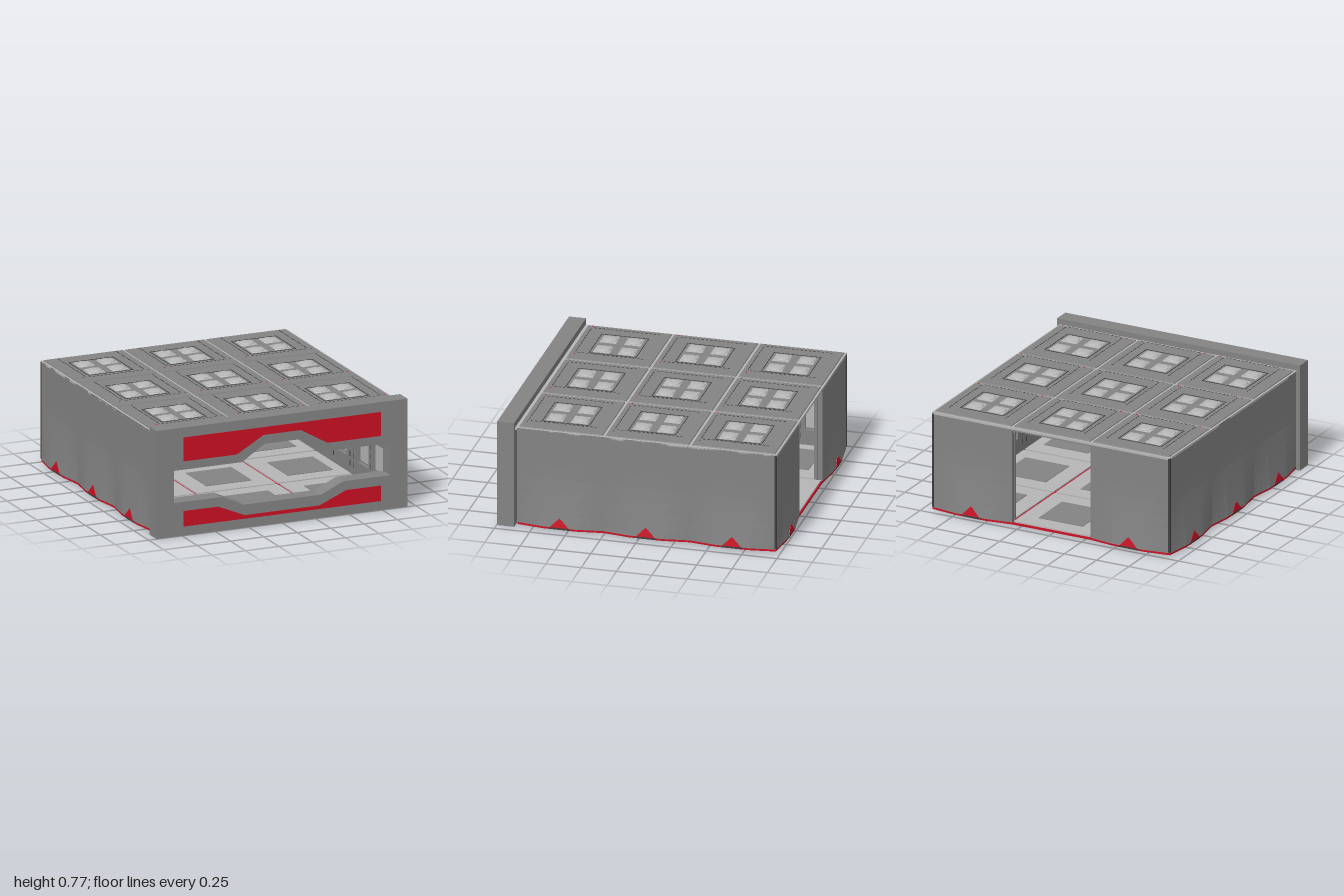
import * as THREE from 'three';
import { mergeGeometries } from 'three/addons/utils/BufferGeometryUtils.js';

const material = (name, color) => new THREE.MeshStandardMaterial({ name, color });
const grey = material('grey', 0x848484);
const light = material('light grey', 0xb6b6b6);
const red = material('red', 0xcc1024);
const dark = material('dark grey', 0x404044);

const PITCH = 0.61, MID_Z = -0.055, WALL_H = 0.7;

function add(parent, name, geometry, mat, x = 0, y = 0, z = 0) {
  const mesh = new THREE.Mesh(geometry, mat);
  mesh.name = name;
  mesh.position.set(x, y, z);
  parent.add(mesh);
  return mesh;
}
const box = (w, h, d) => new THREE.BoxGeometry(w, h, d);
const polygon = pts => new THREE.Shape(pts.map(p => new THREE.Vector2(...p)));
const extrude = (shape, depth) => new THREE.ExtrudeGeometry(shape, { depth, bevelEnabled: false });
// Close a half outline (x >= 0) by mirroring it across x = 0
const mirrored = half => polygon([...half, ...half.map(([x, y]) => [-x, y]).reverse()]);
const rect = (w, h, x = 0, y = 0) => [
  [x - w / 2, y - h / 2], [x + w / 2, y - h / 2], [x + w / 2, y + h / 2], [x - w / 2, y + h / 2]];

// Row of thin dashes along x, lying in the xz plane
function dashRow(length, count, width = 0.006) {
  const parts = [];
  for (let i = 0; i < count; i++) {
    const dash = box(length / count * 0.55, 0.002, width);
    dash.translate((i + 0.5) / count * length - length / 2, 0, 0);
    parts.push(dash);
  }
  return mergeGeometries(parts);
}

// How far the walls swell outward, along the tile
const swell = s => Math.min(1, Math.max(0, (0.305 - Math.abs(s)) / 0.19));

// Square frame with four low domes, facing +y
function domePanel() {
  const group = new THREE.Group();
  group.name = 'domePanel';
  const rim = polygon(rect(0.336, 0.336));
  rim.holes.push(polygon(rect(0.328, 0.328)));
  add(group, 'panelRim', extrude(rim, 0.003).rotateX(-Math.PI / 2), dark);
  for (const x of [-0.087, 0.087]) for (const z of [-0.087, 0.087]) {
    const base = new THREE.CylinderGeometry(0.075, 0.083, 0.007, 4).rotateY(Math.PI / 4);
    add(group, 'domeBase', base, light, x, 0.0035, z);
    const dome = new THREE.SphereGeometry(0.053, 24, 6, 0, Math.PI * 2, 0, Math.PI / 2).scale(1, 0.2, 1);
    add(group, 'dome', dome, light, x, 0.007, z);
  }
  return group;
}

// One wall section; its outside faces +z
function wallTile() {
  const group = new THREE.Group();
  group.name = 'wallTile';
  const skin = new THREE.PlaneGeometry(PITCH, WALL_H, 10, 8);
  skin.translate(0, 0.03 + WALL_H / 2, 0);
  const p = skin.attributes.position;
  for (let i = 0; i < p.count; i++) {
    const rise = Math.max(0, (0.4 - p.getY(i)) / 0.37);
    p.setZ(i, 0.028 * swell(p.getX(i)) * rise ** 1.3);
  }
  const facets = skin.toNonIndexed();
  facets.computeVertexNormals();
  add(group, 'wallSkin', facets, grey);
  add(group, 'wallCore', box(PITCH, WALL_H - 0.005, 0.03), grey, 0, 0.378, -0.017);
  add(group, 'innerPanel', box(0.44, 0.46, 0.004), light, 0, 0.39, -0.034);

  // Inner frame with four recessed openings
  const frame = polygon(rect(PITCH, WALL_H - 0.01, 0, 0.378));
  for (const x of [-0.122, 0.122]) for (const y of [0.255, 0.525])
    frame.holes.push(polygon(rect(0.18, 0.21, x, y)));
  add(group, 'innerFrame', extrude(frame, 0.025), grey, 0, 0, -0.06);
  add(group, 'innerDashes', dashRow(0.56, 8).rotateX(Math.PI / 2), dark, 0, 0.39, -0.061);
  for (const x of [-0.275, 0, 0.275])
    add(group, 'innerDashes', dashRow(0.62, 9).rotateX(Math.PI / 2).rotateZ(Math.PI / 2), dark, x, 0.385, -0.061);
  const ring = new THREE.RingGeometry(0.014, 0.02, 12).rotateY(Math.PI);
  add(group, 'innerRing', ring, red, 0, 0.39, -0.063);

  // Red marker at the foot of the swelling
  const marker = add(group, 'footMarker',
    extrude(polygon([[-0.068, 0], [0.068, 0], [0, 0.07]]), 0.004), red, 0, 0.03, 0.0265);
  marker.rotation.x = -0.1;
  add(group, 'footStrip', box(0.15, 0.012, 0.01), dark, 0, 0.024, 0.0245);
  return group;
}

function wall(name, offsets, x, z, turn) {
  const group = new THREE.Group();
  group.name = name;
  for (const s of offsets) {
    const tile = wallTile();
    tile.position.x = s;
    group.add(tile);
  }
  group.position.set(x, 0, z);
  group.rotation.y = turn;
  return group;
}

// Front plate with a stepped opening and two red bands
function frontPanel() {
  const group = new THREE.Group();
  group.name = 'frontPanel';
  const face = polygon(rect(1.88, 0.77, 0, 0.385));
  face.holes.push(mirrored([[0.13, 0.58], [0.3, 0.47], [0.81, 0.47], [0.81, 0.24], [0.46, 0.24], [0.29, 0.165]]));
  add(group, 'frontPlate', extrude(face, 0.12), grey, 0, 0, 0.877);
  const top = mirrored([[0.74, 0.7], [0.74, 0.53], [0.34, 0.53], [0.14, 0.645]]);
  const bottom = mirrored([[0.28, 0.09], [0.48, 0.175], [0.74, 0.175], [0.74, 0.065]]);
  add(group, 'upperBand', extrude(top, 0.004), red, 0, 0, 0.996);
  add(group, 'lowerBand', extrude(bottom, 0.004), red, 0, 0, 0.996);
  return group;
}

function roofTile() {
  const group = new THREE.Group();
  group.name = 'roofTile';
  // Bevelled slab
  const slab = new THREE.CylinderGeometry(0.587 / Math.SQRT2, 0.596 / Math.SQRT2, 0.012, 4).rotateY(Math.PI / 4);
  const flat = slab.toNonIndexed();
  flat.computeVertexNormals();
  add(group, 'roofSlab', flat, grey, 0, 0.731, 0);
  const panel = domePanel();
  panel.position.y = 0.737;
  group.add(panel);
  const ceiling = domePanel();
  ceiling.rotation.x = Math.PI;
  ceiling.position.y = 0.7;
  group.add(ceiling);
  // Hovering dashed outline
  for (const side of [-1, 1]) {
    add(group, 'roofDashes', dashRow(0.48, 16).rotateY(Math.PI / 2), dark, side * 0.218, 0.755, 0);
    add(group, 'roofDot', box(0.012, 0.002, 0.006), red, side * 0.245, 0.755, 0.25);
  }
  add(group, 'roofDashes', dashRow(0.42, 14), dark, 0, 0.755, 0.25);
  return group;
}

function floorTile() {
  const group = new THREE.Group();
  group.name = 'floorTile';
  add(group, 'floorPlate', box(0.59, 0.01, 0.59), light, 0, 0.035, 0);
  add(group, 'floorSquare', box(0.34, 0.005, 0.34), grey, 0, 0.0415, 0);
  // Underside
  add(group, 'baseSquare', box(0.34, 0.004, 0.34), grey, 0, 0.014, 0);
  const rim = polygon(rect(0.38, 0.38));
  rim.holes.push(polygon(rect(0.34, 0.34)));
  add(group, 'baseRim', extrude(rim, 0.012).rotateX(-Math.PI / 2), red, 0, 0.006, 0);
  for (const s of [-0.28, 0.28]) {
    add(group, 'baseStrip', box(0.34, 0.008, 0.018), red, 0, 0.014, s);
    add(group, 'baseStrip', box(0.018, 0.008, 0.34), red, s, 0.014, 0);
  }
  return group;
}

// Red base plate following the swelling of the walls
function basePlate() {
  const side = [], back = [];
  for (const c of [-PITCH, 0, PITCH]) for (const s of [-0.305, -0.115, 0.115, 0.305]) {
    side.push([0.918 + 0.026 * swell(s), c + s]);
    if (c > 0) back.push([c + s, 0.913 + 0.026 * swell(s)]);
  }
  return extrude(mirrored([...side, ...back.reverse()]), 0.015).rotateX(-Math.PI / 2);
}

export function createModel() {
  const model = new THREE.Group();
  model.name = 'hollowTiledBlock';
  model.add(frontPanel());

  const row = [-PITCH, 0, PITCH];
  model.add(wall('leftWall', row, 0.92, MID_Z, Math.PI / 2));
  model.add(wall('rightWall', row, -0.92, MID_Z, -Math.PI / 2));
  model.add(wall('backWall', [-PITCH, PITCH], 0, -0.97, Math.PI));
  for (const side of [-1, 1])
    add(model, 'cornerPost', box(0.014, 0.69, 0.014), dark, side * 0.915, 0.38, -0.968);

  // Roof: light sheet showing in the joints, grey ceiling below
  add(model, 'roofSheet', box(1.84, 0.016, 1.85), light, 0, 0.722, -0.05);
  add(model, 'ceilingSheet', box(1.82, 0.014, 1.82), grey, 0, 0.707, MID_Z);
  for (const s of [-PITCH / 2, PITCH / 2]) {
    add(model, 'ceilingBeam', box(0.03, 0.02, 1.8), grey, s, 0.692, MID_Z);
    add(model, 'ceilingBeam', box(1.8, 0.02, 0.03), grey, 0, 0.692, MID_Z + s);
  }

  add(model, 'basePlate', basePlate(), red, 0, 0.015, MID_Z);
  for (const x of row) for (const z of row) for (const tile of [roofTile(), floorTile()]) {
    tile.position.set(x, 0, MID_Z + z);
    model.add(tile);
  }
  return model;
}
